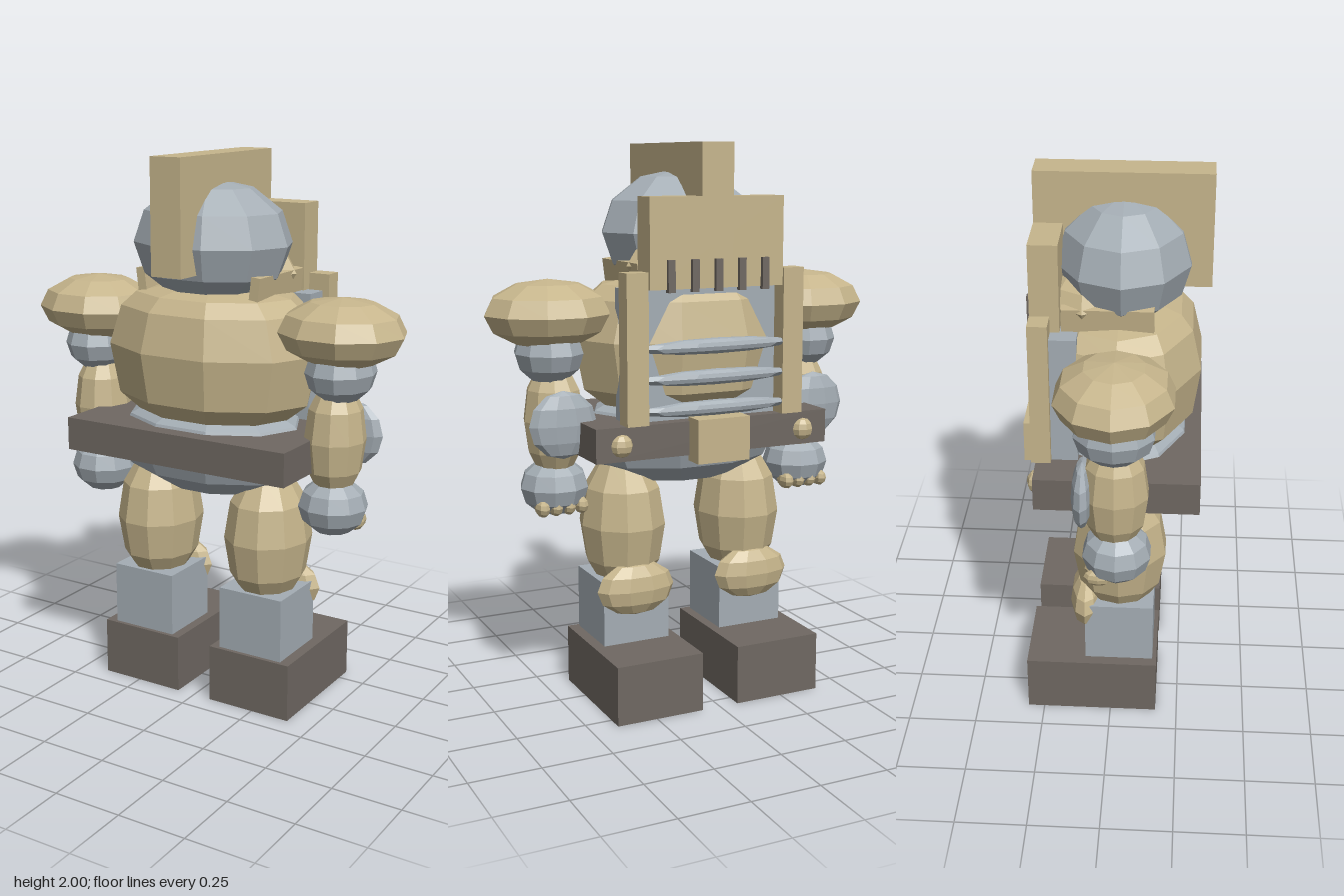
import * as THREE from 'three';

export function createModel() {
  const root = new THREE.Group();
  root.name = 'armouredRobot';
  const mat = (name, color) => {
    const m = new THREE.MeshStandardMaterial({ color, flatShading: true });
    m.name = name;
    return m;
  };
  const tan = mat('sand armour', 0xc6b58c);
  const steel = mat('pale steel', 0xa4adb4);
  const dark = mat('dark brown', 0x6f6862);

  const add = (name, geo, material, x, y, z, parent = root) => {
    const mesh = new THREE.Mesh(geo, material);
    mesh.name = name;
    mesh.position.set(x, y, z);
    parent.add(mesh);
    return mesh;
  };
  // Box given by its limits on each axis
  const box = (name, m, x0, x1, y0, y1, z0, z1, parent) =>
    add(name, new THREE.BoxGeometry(x1 - x0, y1 - y0, z1 - z0), m,
      (x0 + x1) / 2, (y0 + y1) / 2, (z0 + z1) / 2, parent);
  // Faceted ellipsoid given by centre and radii
  const blob = (name, m, c, r, parent, ws = 10, hs = 6) =>
    add(name, new THREE.SphereGeometry(1, ws, hs).scale(...r), m, ...c, parent);

  // Torso: faceted barrel
  const profile = [[0, 1.05], [0.29, 1.07], [0.38, 1.14], [0.417, 1.32],
    [0.37, 1.46], [0.31, 1.51], [0, 1.57]].map(([r, y]) => new THREE.Vector2(r, y));
  const torso = new THREE.LatheGeometry(profile, 10, Math.PI / 2);
  add('torso', torso.scale(1, 1, 0.71), tan, 0, 0, 0.02);

  // Hips and belt
  blob('pelvis', steel, [0, 0.965, 0.025], [0.39, 0.19, 0.27]);
  box('belt', dark, -0.45, 0.45, 0.93, 1.05, -0.26, 0.31);
  box('buckle', tan, -0.1, 0.1, 0.91, 1.065, -0.33, -0.25);

  // Head, crest and face guard
  blob('head', steel, [0, 1.69, 0.03], [0.3, 0.222, 0.24]);
  blob('jaw', tan, [0, 1.58, -0.1], [0.265, 0.11, 0.15]);
  box('crest', tan, -0.06, 0.06, 1.6, 2, -0.275, 0.33);
  box('faceGuard', tan, -0.255, 0.255, 1.51, 1.82, -0.275, -0.175);
  for (let i = -2; i <= 2; i++) {
    const x = i * 0.09;
    box('vent', dark, x - 0.013, x + 0.013, 1.5, 1.61, -0.29, -0.27);
  }

  // Ribbed plate between the side rails
  box('grillePlate', steel, -0.315, 0.315, 1.04, 1.51, -0.21, -0.115);
  for (let i = 0; i < 3; i++)
    blob('grilleRib', steel, [0, 1.31 - i * 0.108, -0.265], [0.29, 0.028, 0.03], root, 10, 6);

  // Paired parts: s is the side
  for (const s of [1, -1]) {
    const side = new THREE.Group();
    side.name = s > 0 ? 'leftSide' : 'rightSide';
    root.add(side);
    const sideBox = (name, m, x0, x1, ...rest) =>
      box(name, m, Math.min(s * x0, s * x1), Math.max(s * x0, s * x1), ...rest, side);
    const sideBlob = (name, m, [x, y, z], r, ws, hs) =>
      blob(name, m, [s * x, y, z], r, side, ws, hs);

    // Leg
    sideBox('foot', dark, 0.07, 0.4, 0, 0.215, -0.31, 0.17);
    sideBox('shin', steel, 0.105, 0.36, 0.215, 0.45, -0.095, 0.155);
    sideBlob('thigh', tan, [0.235, 0.64, 0.028], [0.156, 0.27, 0.175]);
    sideBlob('kneePad', tan, [0.235, 0.42, -0.095], [0.15, 0.1, 0.06]);

    // Arm
    sideBlob('shoulderPad', tan, [0.51, 1.417, 0.023], [0.23, 0.12, 0.205]);
    sideBlob('upperArm', steel, [0.51, 1.28, 0.023], [0.122, 0.11, 0.14]);
    sideBlob('forearm', tan, [0.495, 1.04, 0.025], [0.108, 0.22, 0.117]);
    sideBlob('forearmPad', steel, [0.5, 1.04, -0.085], [0.125, 0.12, 0.038]);
    sideBlob('hand', steel, [0.495, 0.8, 0.03], [0.125, 0.105, 0.122]);
    for (let i = 0; i < 4; i++)
      sideBlob('finger', tan, [0.42 + i * 0.048, 0.738, -0.03], [0.024, 0.032, 0.05], 8, 6);

    // Cheek guard, body rail and belt rivet
    const cheek = sideBox('cheekGuard', tan, 0.215, 0.25, 1.5, 1.595, -0.17, 0.14);
    cheek.rotation.z = -s * 0.12;
    sideBox('sideRail', tan, 0.26, 0.34, 1.05, 1.57, -0.275, -0.207);
    sideBlob('rivet', tan, [0.355, 0.985, -0.26], [0.04, 0.04, 0.03], 8, 6);
  }
  return root;
}
